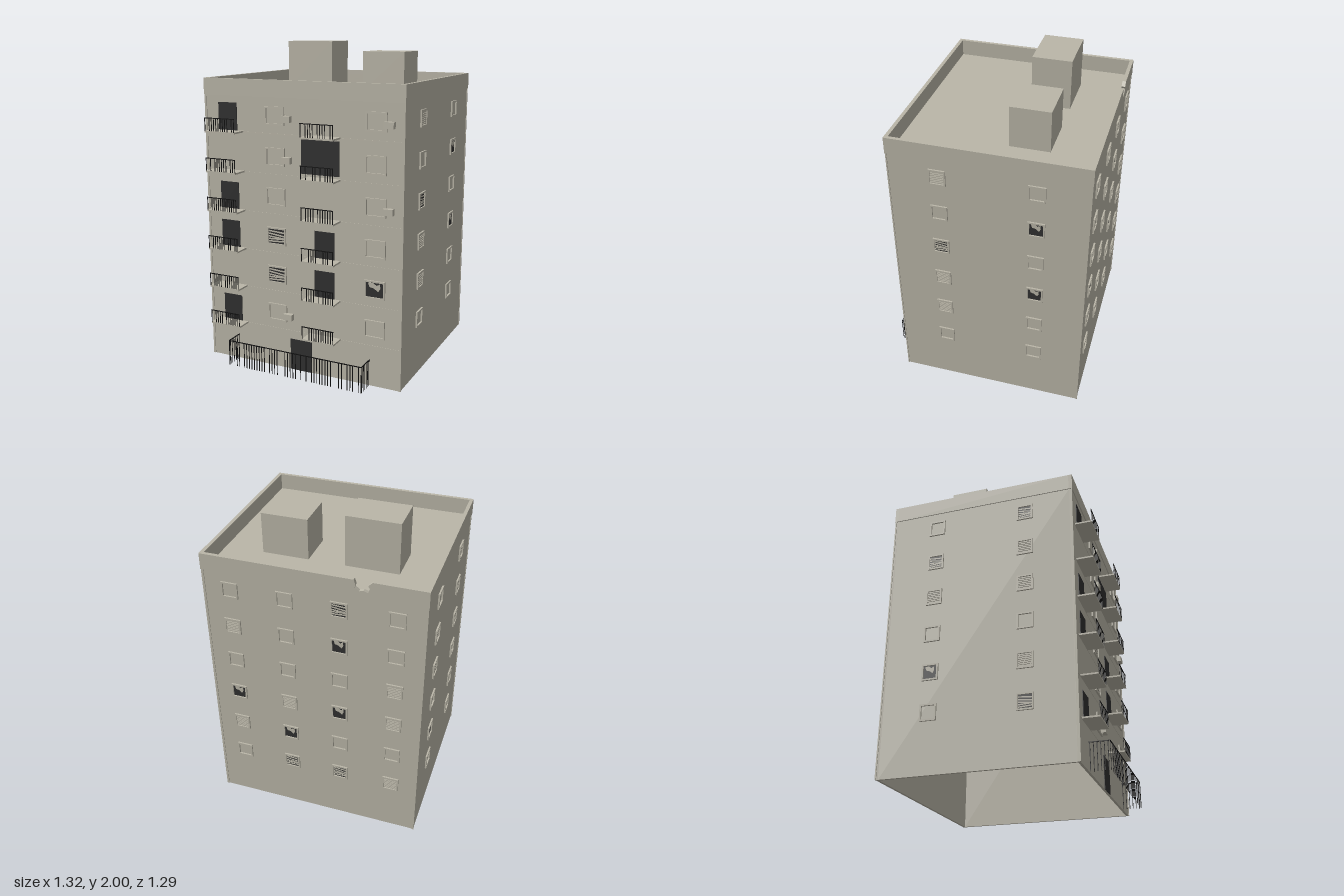
import * as THREE from 'three';

const concrete = new THREE.MeshStandardMaterial({ color: 0xbab6a8 });
concrete.name = 'concrete';
const dark = new THREE.MeshStandardMaterial({ color: 0x303030 });
dark.name = 'darkOpening';
const iron = new THREE.MeshStandardMaterial({ color: 0x101010 });
iron.name = 'blackIron';

// Overall layout
const X = 0.652, BACK = -0.635, FRONT = 0.523, ROOF = 1.69, TOP = 1.79, T = 0.015;
const STEP = 0.244, FLOORS = 6;
const DEPTH = FRONT - BACK, ZC = (FRONT + BACK) / 2;

// Box given by its min and max corners
function box(parent, name, mat, x0, x1, y0, y1, z0, z1) {
  const m = new THREE.Mesh(new THREE.BoxGeometry(x1 - x0, y1 - y0, z1 - z0), mat);
  m.position.set((x0 + x1) / 2, (y0 + y1) / 2, (z0 + z1) / 2);
  m.name = name;
  parent.add(m);
  return m;
}

function polygon(points) {
  return new THREE.Shape(points.map(([x, y]) => new THREE.Vector2(x, y)));
}

function extruded(parent, name, mat, shape, depth, z = 0) {
  const m = new THREE.Mesh(new THREE.ExtrudeGeometry(shape, { depth, bevelEnabled: false }), mat);
  m.position.z = z;
  m.name = name;
  parent.add(m);
  return m;
}

function seeded(seed) {
  return () => (seed = (seed * 16807) % 2147483647) / 2147483647;
}

// Window facing +z; kind: p plain, b blind, s broken slats, g broken glass
function makeWindow(w, h, kind) {
  const g = new THREE.Group();
  g.name = 'window';
  const a = w / 2, b = h / 2, e = 0.01;
  const ring = polygon([[-a - e, -b - e], [a + e, -b - e], [a + e, b + e], [-a - e, b + e]]);
  ring.holes.push(polygon([[-a, -b], [-a, b], [a, b], [a, -b]]));
  extruded(g, 'windowFrame', concrete, ring, 0.01);
  if (kind === 's' || kind === 'g') box(g, 'darkPane', dark, -a, a, -b, b, 0, 0.002);
  if (kind === 'b') {
    for (let i = 0; i < 7; i++) {
      const y = -b + (i + 0.5) * h / 7;
      box(g, 'blindSlat', concrete, -a, a, y - 0.004, y + 0.004, 0, 0.005);
    }
  }
  if (kind === 's') {
    // Slats hanging at uneven angles
    [[0.36, 0.26], [0.18, 0.02], [-0.02, -0.14], [-0.2, -0.17], [-0.37, -0.33]].forEach(([l, r]) => {
      const s = polygon([[-a, (l - 0.06) * h], [a, (r - 0.04) * h], [a, (r + 0.06) * h], [-a, (l + 0.04) * h]]);
      extruded(g, 'brokenSlat', concrete, s, 0.002, 0.002);
    });
  }
  if (kind === 'g') {
    const s = polygon([[-0.38, 0.44], [-0.3, 0.16], [-0.05, 0.1], [0.2, -0.1], [0.32, 0.12],
      [0.3, 0.42], [0.1, 0.3], [-0.1, 0.46]].map(([x, y]) => [x * w, y * h]).reverse());
    extruded(g, 'glassShard', concrete, s, 0.002, 0.002);
  }
  return g;
}

// Column of windows, kinds listed from the bottom floor up
function windowColumn(parent, kinds, x, z, turn, w = 0.08, h = 0.08) {
  [...kinds].forEach((kind, i) => {
    const win = makeWindow(w, h, kind);
    win.position.set(x, 0.36 + i * STEP, z);
    win.rotation.y = turn;
    parent.add(win);
  });
}

function balcony(parent, x, floor, seed) {
  const g = new THREE.Group();
  g.name = 'balcony';
  const y = 0.25 + floor * STEP, r = 0.105, rnd = seeded(seed);
  box(g, 'balconySlab', concrete, x - r, x + r, y, y + 0.01, FRONT, 0.625);
  box(g, 'balconyTopRail', iron, x - r, x + r, y + 0.086, y + 0.091, 0.622, 0.626);
  for (let i = 0; i <= 13; i++) {
    if (i > 0 && i < 13 && rnd() < 0.25) continue;
    const bx = x - r + 0.003 + i * (2 * r - 0.006) / 13;
    box(g, 'balconyBar', iron, bx - 0.0025, bx + 0.0025, y + 0.01, y + 0.088, 0.623, 0.625);
  }
  parent.add(g);
}

export function createModel() {
  const model = new THREE.Group();
  model.name = 'apartmentBlock';

  // Hollow shell, open underneath
  box(model, 'frontWall', concrete, -X, X, 0, ROOF, FRONT - T, FRONT);
  box(model, 'backWall', concrete, -X, X, 0, ROOF, BACK, BACK + T);
  for (const s of [-1, 1]) {
    const c = s * (X - T / 2);
    box(model, 'sideWall', concrete, c - T / 2, c + T / 2, 0, ROOF, BACK + T, FRONT - T);
    // Slim corner strips
    for (const z of [BACK, FRONT]) {
      const p = s * (X - 0.003);
      box(model, 'cornerStrip', concrete, p - 0.007, p + 0.007, 0, ROOF, z - 0.004, z + 0.004);
    }
  }
  box(model, 'roof', concrete, -X + T, X - T, ROOF - T, ROOF, BACK + T, FRONT - T);

  // Parapet, with a broken notch at the back
  const P = X + 0.006, PT = 0.022;
  box(model, 'frontParapet', concrete, -P, P, ROOF, TOP, FRONT + 0.006 - PT, FRONT + 0.006);
  for (const s of [-1, 1]) {
    const c = s * (P - PT / 2);
    box(model, 'sideParapet', concrete, c - PT / 2, c + PT / 2, ROOF, TOP, BACK - 0.006 + PT, FRONT + 0.006 - PT);
  }
  extruded(model, 'backParapet', concrete, polygon([[-P, ROOF], [P, ROOF], [P, TOP], [-0.245, TOP],
    [-0.255, 1.76], [-0.25, 1.742], [-0.275, 1.725], [-0.3, 1.732], [-0.325, 1.722],
    [-0.335, 1.75], [-0.325, 1.765], [-0.35, TOP], [-P, TOP]]), PT, BACK - 0.006);

  // Roof houses
  box(model, 'stairHouse', concrete, -0.42, -0.1, ROOF, 2, -0.35, -0.11);
  box(model, 'liftHouse', concrete, 0.12, 0.4, ROOF, 1.94, -0.35, -0.11);

  // Floor joints and balconies on the front
  for (let i = 0; i < FLOORS; i++) {
    const y = 0.25 + i * STEP;
    box(model, 'floorLedge', concrete, -X + 0.01, X - 0.01, y, y + 0.006, FRONT, FRONT + 0.002);
    balcony(model, -0.49, i, 101 + i * 977);
    balcony(model, 0.16, i, 5003 + i * 1327);
  }

  // Dark doorways
  const doorway = (name, x0, x1, y0, y1) => box(model, name, dark, x0, x1, y0, y1, FRONT, FRONT + 0.004);
  for (const i of [0, 2, 3, 5]) doorway('balconyDoor', -0.557, -0.427, 0.26 + i * STEP, 0.427 + i * STEP);
  for (const i of [1, 2]) doorway('balconyDoor', 0.094, 0.225, 0.26 + i * STEP, 0.425 + i * STEP);
  doorway('wallBreach', 0.01, 0.257, 1.25, 1.455);
  doorway('entrance', -0.077, 0.07, 0, 0.2);

  // Windows on all four sides
  windowColumn(model, 'pssppp', -0.165, FRONT, 0, 0.11, 0.09);
  windowColumn(model, 'pgpppp', 0.485, FRONT, 0, 0.11, 0.09);
  windowColumn(model, 'pbbspb', X, 0.23, Math.PI / 2);
  windowColumn(model, 'ppgpgp', X, -0.34, Math.PI / 2);
  windowColumn(model, 'sbpbbs', -X, 0.23, -Math.PI / 2);
  windowColumn(model, 'pgpbsp', -X, -0.34, -Math.PI / 2);
  windowColumn(model, 'pbgpbp', 0.49, BACK, Math.PI);
  windowColumn(model, 'sgbppp', 0.16, BACK, Math.PI);
  windowColumn(model, 'spgpgs', -0.16, BACK, Math.PI);
  windowColumn(model, 'bpbbpp', -0.49, BACK, Math.PI);

  // Air conditioners beside some front windows
  for (const [x, i] of [[-0.083, 0], [-0.083, 4], [-0.083, 5], [0.568, 3], [0.568, 5]]) {
    const y = 0.327 + i * STEP;
    box(model, 'airConditioner', concrete, x - 0.03, x + 0.03, y, y + 0.038, FRONT, 0.553);
  }

  // Entrance fence
  const fence = new THREE.Group();
  fence.name = 'fence';
  const F = 0.455, FZ = 0.642, h = 0.165, rnd = seeded(77);
  box(fence, 'fenceRail', iron, -F, F, h - 0.005, h, FZ - 0.002, FZ + 0.002);
  for (let i = 0; i <= 50; i++) {
    if (i > 0 && i < 50 && rnd() < 0.15) continue;
    const x = -F + i * 2 * F / 50;
    box(fence, 'fenceBar', iron, x - 0.0025, x + 0.0025, 0, h, FZ - 0.001, FZ + 0.001);
  }
  for (const s of [-F, F]) {
    box(fence, 'fenceSideRail', iron, s - 0.002, s + 0.002, h - 0.005, h, FRONT, FZ);
    for (let i = 0; i < 6; i++) {
      const z = 0.53 + i * 0.02;
      box(fence, 'fenceSideBar', iron, s - 0.001, s + 0.001, 0, h, z - 0.002, z + 0.002);
    }
  }
  model.add(fence);

  return model;
}
